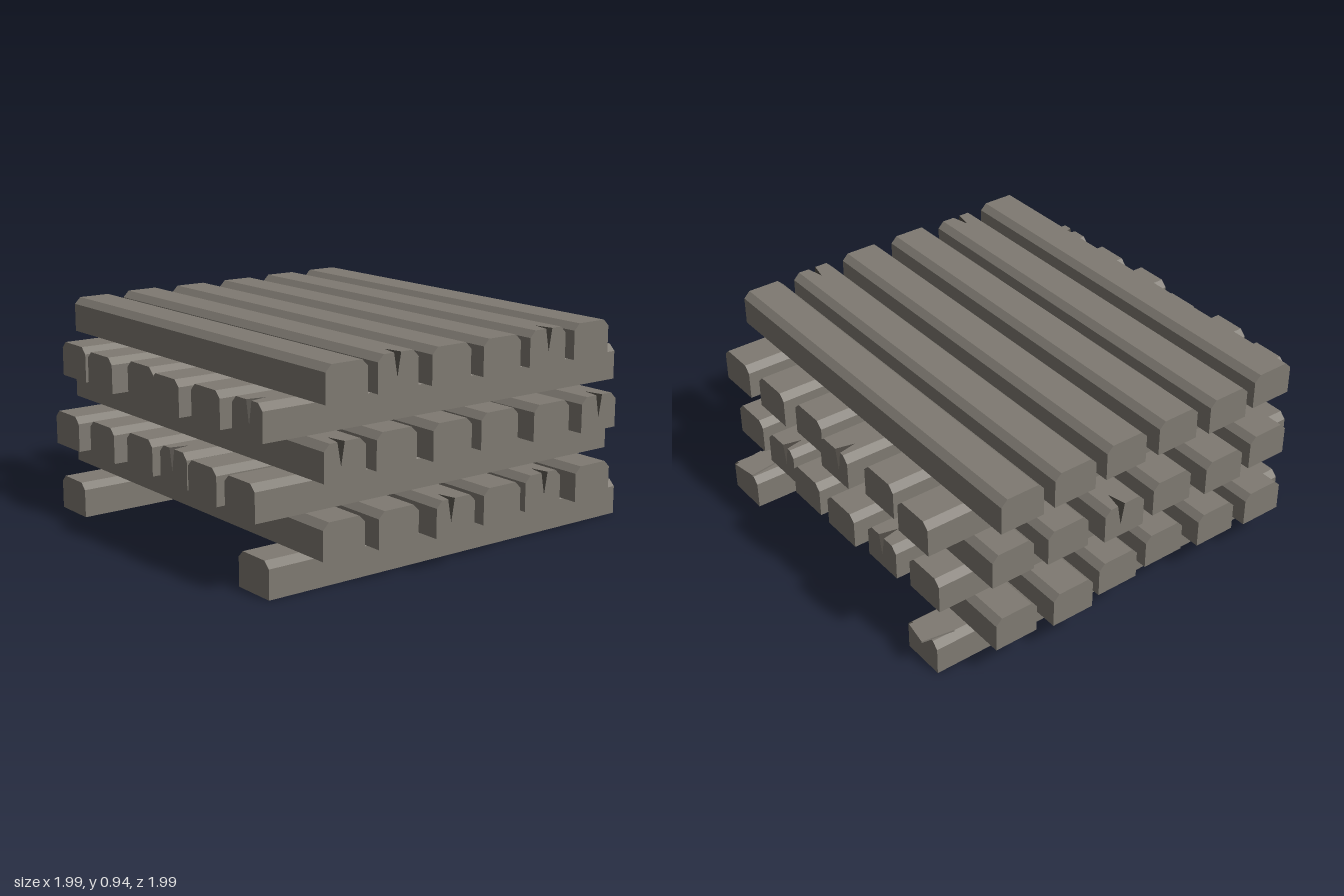
import * as THREE from 'three';

const L = 1.925, W = 0.103, H = 0.156, C = 0.029; // beam length, half width, height, chamfer
const CRACK = { half: 0.018, depth: 0.1, run: 0.085 };

const timber = new THREE.MeshStandardMaterial({ color: 0x7f7a72 });
timber.name = 'weathered timber';
const crackWood = new THREE.MeshStandardMaterial({ color: 0x4f4b45 });
crackWood.name = 'dark crack wood';

// Chamfered beam along z; cracks maps an end (1 or -1) to the sideways offset of its split
function beamGeometry(cracks) {
  const wood = [], dark = [];
  const fan = (list, pts, flip) => {
    for (let i = 1; i < pts.length - 1; i++) {
      const tri = [pts[0], pts[i], pts[i + 1]];
      if (flip) tri.reverse();
      tri.forEach((p) => list.push(...p));
    }
  };
  const t = W - C, e = L / 2;
  const profile = [[-W, 0], [W, 0], [W, H - C], [t, H], [-t, H], [-W, H - C]];

  // bottom, sides and chamfers
  profile.forEach(([x, y], i) => {
    if (i === 3) return;
    const [x2, y2] = profile[(i + 1) % 6];
    fan(wood, [[x, y, -e], [x2, y2, -e], [x2, y2, e], [x, y, e]]);
  });

  // each end face with its half of the top
  for (const s of [1, -1]) {
    const flip = s < 0, z = s * e, o = cracks[s];
    const ring = profile.map(([x, y]) => [x, y, z]);
    if (o === undefined) {
      fan(wood, ring, flip);
      fan(wood, [[t, H, 0], [-t, H, 0], [-t, H, z], [t, H, z]], flip);
      continue;
    }
    const left = [o - CRACK.half, H, z], right = [o + CRACK.half, H, z];
    const low = [o, H - CRACK.depth, z], apex = [o, H, s * (e - CRACK.run)];
    fan(wood, [low, left, ring[4], ring[5], ring[0], ring[1], ring[2], ring[3], right], flip);
    fan(wood, [apex, right, ring[3], [t, H, 0], [-t, H, 0], ring[4], left], flip);
    fan(dark, [left, low, apex], flip);
    fan(dark, [right, apex, low], flip);
  }

  const g = new THREE.BufferGeometry();
  g.setAttribute('position', new THREE.Float32BufferAttribute([...wood, ...dark], 3));
  g.addGroup(0, wood.length / 3, 0);
  g.addGroup(wood.length / 3, dark.length / 3, 1);
  g.computeVertexNormals();
  return g;
}

// Layers from the ground up: sideways positions, where the positive ends stop, and split ends
const LAYERS = [
  { along: 'x', at: [-0.69, 0.715], ends: [0.95, 0.97], cracks: {} },
  { along: 'z', at: [-0.685, -0.42, -0.145, 0.13, 0.4, 0.675], ends: [0.945, 0.96, 0.99, 0.97, 0.935, 0.96],
    cracks: { 2: { 1: -0.025 }, 4: { 1: 0.008 } } },
  { along: 'x', at: [-0.68, -0.405, -0.13, 0.14, 0.41, 0.69], ends: [0.925, 0.945, 0.97, 0.97, 0.935, 0.925],
    cracks: { 1: { 1: 0 }, 3: { '-1': 0.01 }, 4: { 1: 0.038 } } },
  { along: 'z', at: [-0.68, -0.405, -0.133, 0.14, 0.41, 0.675], ends: [0.945, 0.925, 0.95, 0.935, 0.965, 0.983],
    cracks: { 0: { 1: -0.02 }, 3: { '-1': 0.02 }, 5: { 1: 0 } } },
  { along: 'x', at: [-0.68, -0.405, -0.13, 0.14, 0.41, 0.69], ends: [0.97, 0.945, 0.983, 0.938, 0.957, 0.965],
    cracks: { 2: { 1: 0.035 }, 5: { '-1': -0.013 } } },
  { along: 'z', at: [-0.68, -0.405, -0.14, 0.135, 0.41, 0.675], ends: [0.955, 0.93, 0.945, 0.945, 0.93, 0.925],
    cracks: { 1: { 1: -0.005 }, 4: { 1: 0.005 } } },
];

export function createModel() {
  const model = new THREE.Group();
  model.name = 'timberStack';

  LAYERS.forEach(({ along, at, ends, cracks }, k) => {
    const layer = new THREE.Group();
    layer.name = `layer${k + 1}`;
    layer.position.y = k * H;
    at.forEach((p, i) => {
      const beam = new THREE.Mesh(beamGeometry(cracks[i] || {}), [timber, crackWood]);
      beam.name = `beam${i + 1}`;
      const mid = ends[i] - L / 2;
      if (along === 'x') {
        beam.rotation.y = Math.PI / 2;
        beam.position.set(mid, 0, p);
      } else beam.position.set(p, 0, mid);
      layer.add(beam);
    });
    model.add(layer);
  });

  // lifted splinters on the ground beams
  for (const [z, turn] of [[-0.7, -0.16], [0.715, 0.16]]) {
    const splinter = new THREE.Mesh(new THREE.BoxGeometry(0.15, 0.008, 0.12), timber);
    splinter.name = z < 0 ? 'backSplinter' : 'frontSplinter';
    splinter.position.set(0.91, H + 0.005, z);
    splinter.rotation.y = turn;
    model.add(splinter);
  }
  return model;
}
